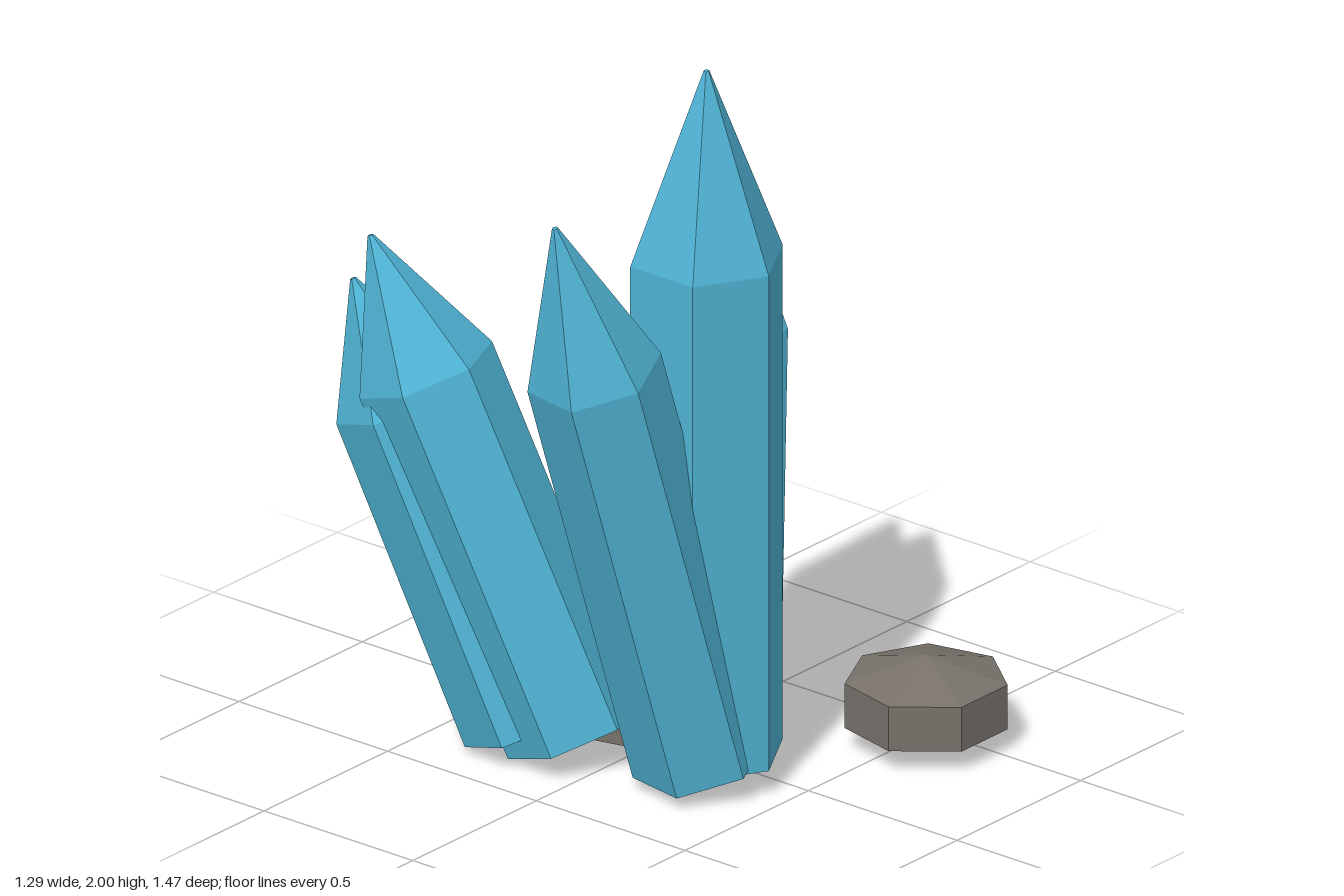
import * as THREE from 'three';

const rad = THREE.MathUtils.degToRad;
const UP = new THREE.Vector3(0, 1, 0);

const crystalBlue = new THREE.MeshStandardMaterial({ color: 0x4fb3d4, flatShading: true });
crystalBlue.name = 'crystalBlue';
const stoneGrey = new THREE.MeshStandardMaterial({ color: 0x77716a, flatShading: true });
stoneGrey.name = 'stoneGrey';

// Hexagonal shaft with a pointed cap, grown from base to tip and twisted about its axis
function crystal(name, base, tip, radius, twist) {
  const foot = new THREE.Vector3(...base);
  const axis = new THREE.Vector3(...tip).sub(foot);
  const length = axis.length();
  const shaftLength = length * 0.728;
  const capLength = length - shaftLength;

  const shaftGeometry = new THREE.CylinderGeometry(radius, radius, shaftLength, 6);
  shaftGeometry.rotateY(rad(twist)).translate(0, shaftLength / 2, 0);
  const shaft = new THREE.Mesh(shaftGeometry, crystalBlue);
  shaft.name = 'shaft';

  const capGeometry = new THREE.CylinderGeometry(0.008, radius, capLength, 6);
  capGeometry.rotateY(rad(twist)).translate(0, shaftLength + capLength / 2, 0);
  const cap = new THREE.Mesh(capGeometry, crystalBlue);
  cap.name = 'point';

  const group = new THREE.Group();
  group.name = name;
  group.add(shaft, cap);
  group.position.copy(foot);
  group.quaternion.setFromUnitVectors(UP, axis.normalize());
  return group;
}

// Flattened seven-sided stone with shallow peaks above and below
function rock(name, position, radius, twist) {
  const geometry = new THREE.SphereGeometry(radius, 7, 3);
  // the sphere's first vertex lies on -x; turn it to -z, then twist
  geometry.rotateY(rad(-90 + twist)).scale(1, 0.5, 1);
  const mesh = new THREE.Mesh(geometry, stoneGrey);
  mesh.name = name;
  mesh.position.set(...position);
  return mesh;
}

export function createModel() {
  const model = new THREE.Group();
  model.name = 'crystalCluster';

  // Crystals: base, tip, radius, twist in degrees
  model.add(
    crystal('centralCrystal', [-0.1, 0.08, 0.24], [-0.1, 2, 0.24], 0.21, 0),
    crystal('rightLeaningCrystal', [-0.15, 0.08, 0.258], [-0.605, 1.7, 0.15], 0.18, -11),
    crystal('leftLeaningCrystal', [0.18, 0.08, 0.065], [0.34, 1.45, -0.035], 0.15, 31),
    crystal('backInnerCrystal', [-0.22, 0.08, -0.105], [-0.435, 1.41, -0.612], 0.187, -9),
    crystal('backOuterCrystal', [-0.25, 0.08, -0.23], [-0.405, 1.255, -0.695], 0.18, -14),
  );

  // Stones: centre, radius, twist in degrees
  model.add(
    rock('frontRock', [0.43, 0.13, 0.54], 0.25, 0),
    rock('backRock', [-0.005, 0.13, -0.245], 0.19, 2),
    rock('leftBaseRock', [0.055, 0.13, 0.03], 0.21, -13),
    rock('rightBaseRock', [-0.07, 0.125, 0.01], 0.19, 26),
  );
  return model;
}
